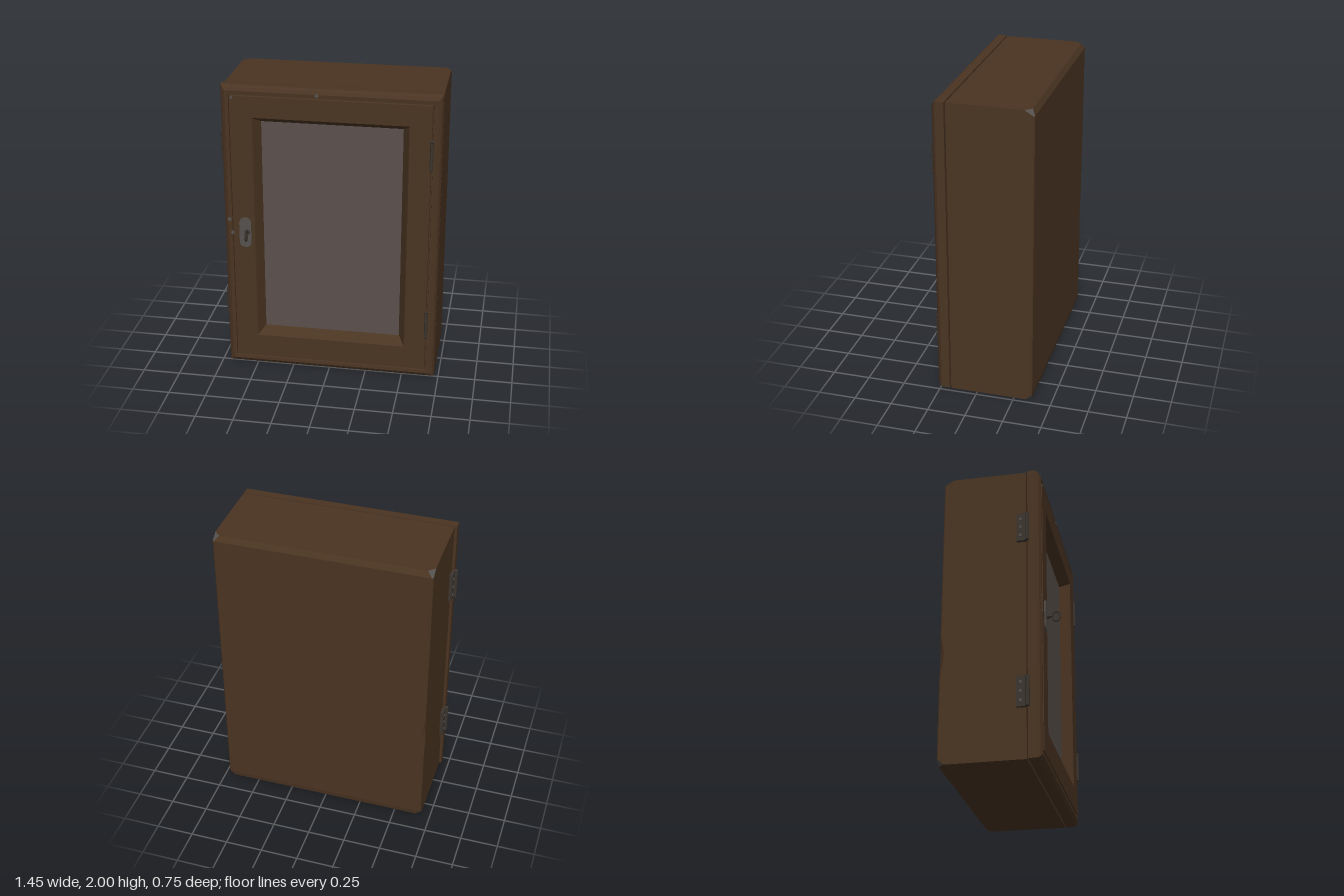
import * as THREE from 'three';

const mat = (name, color) => {
  const m = new THREE.MeshStandardMaterial({ color });
  m.name = name;
  return m;
};

// Flat-faced geometry from triangle lists, one material group per list
function facets(lists) {
  const g = new THREE.BufferGeometry();
  const pos = [];
  lists.forEach((tris, k) => {
    g.addGroup(pos.length / 3, tris.length, k);
    tris.forEach(p => pos.push(...p));
  });
  g.setAttribute('position', new THREE.Float32BufferAttribute(pos, 3));
  g.computeVertexNormals();
  return g;
}

// Case: horizontal sections with chamfered back corners, worn at top and bottom
function caseGeometry() {
  const L = -0.685, R = 0.72, F = 0.18, B = -0.37;
  // [height, right-hand chamfer, left-hand chamfer, back inset]
  const rows = [
    [0, 0.035, 0.035, 0.006], [0.035, 0.008, 0.008, 0], [0.55, 0.008, 0.008, 0],
    [0.66, 0.008, 0.024, 0], [0.74, 0.008, 0.024, 0], [0.85, 0.008, 0.008, 0],
    [1.965, 0.008, 0.008, 0], [2, 0.04, 0.04, 0.022],
  ].map(([y, cr, cl, i]) => [
    [L, y, F], [R, y, F], [R, y, B + i + cr], [R - cr, y, B + i],
    [L + cl, y, B + i], [L, y, B + i + cl],
  ]);
  const wood = [], worn = [];
  for (let k = 0; k < rows.length - 1; k++) {
    const a = rows[k], b = rows[k + 1];
    const end = k === 0 || k === rows.length - 2;
    for (let i = 0; i < 6; i++) {
      const j = (i + 1) % 6;
      const list = end && (i === 2 || i === 4) ? worn : wood;
      list.push(a[i], a[j], b[j], a[i], b[j], b[i]);
    }
  }
  const top = rows[rows.length - 1], bottom = rows[0];
  for (let i = 1; i < 5; i++) {
    wood.push(top[0], top[i], top[i + 1], bottom[0], bottom[i + 1], bottom[i]);
  }
  return facets([wood, worn]);
}

// Front: mitred rectangular moulding swept from the outer edge to the glass
function mouldingGeometry() {
  const rect = (inset, z, drop = 0) => [
    [-0.7 + inset, inset + drop, z], [0.72 - inset, inset + drop, z],
    [0.72 - inset, 2 - inset, z], [-0.7 + inset, 2 - inset, z],
  ];
  const rings = [
    rect(0, 0.19), rect(0, 0.245), rect(0.012, 0.262), rect(0.032, 0.275), rect(0.054, 0.273),
    rect(0.056, 0.258), rect(0.063, 0.258), rect(0.065, 0.277),
    rect(0.205, 0.277, 0.02), rect(0.212, 0.268, 0.02), rect(0.25, 0.2, 0.02),
  ];
  const tris = [];
  for (let k = 0; k < rings.length - 1; k++) {
    const a = rings[k], b = rings[k + 1];
    for (let i = 0; i < 4; i++) {
      const j = (i + 1) % 4;
      tris.push(a[i], a[j], b[j], a[i], b[j], b[i]);
    }
  }
  const [p, q, r, s] = rings[0];
  tris.push(p, r, q, p, s, r);
  return facets([tris]);
}

export function createModel() {
  const root = new THREE.Group();
  root.name = 'wallCabinet';
  const wood = mat('brownWood', 0x4a3422);
  const glass = mat('smokedGlass', 0x5b514d);
  const steel = mat('agedSteel', 0x54504d);
  const dark = mat('darkIron', 0x3c352f);

  const add = (name, geo, material, x = 0, y = 0, z = 0, parent = root) => {
    const m = new THREE.Mesh(geo, material);
    m.name = name;
    m.position.set(x, y, z);
    parent.add(m);
    return m;
  };

  add('case', caseGeometry(), [wood, steel]);
  add('doorFrame', mouldingGeometry(), wood);
  add('glassPane', new THREE.BoxGeometry(0.92, 1.48, 0.008), glass, 0.01, 1.01, 0.2);

  // Keyhole plate with rounded ends
  const w = 0.04, h = 0.065;
  const plate = new THREE.Shape();
  plate.moveTo(-w, -h);
  plate.quadraticCurveTo(-w, -0.105, 0, -0.105);
  plate.quadraticCurveTo(w, -0.105, w, -h);
  plate.lineTo(w, h);
  plate.quadraticCurveTo(w, 0.105, 0, 0.105);
  plate.quadraticCurveTo(-w, 0.105, -w, h);
  add('keyholePlate', new THREE.ExtrudeGeometry(plate, { depth: 0.01, bevelEnabled: false, curveSegments: 5 }),
    steel, -0.557, 0.995, 0.276);

  // Key: shaft, collar and oval bow
  const key = new THREE.Group();
  key.name = 'key';
  key.position.set(-0.538, 1, 0.28);
  root.add(key);
  const shaft = new THREE.CylinderGeometry(0.009, 0.009, 0.045, 8).rotateX(Math.PI / 2);
  add('keyShaft', shaft, dark, 0, 0, 0.022, key);
  const collar = new THREE.CylinderGeometry(0.015, 0.015, 0.01, 8).rotateX(Math.PI / 2);
  add('keyCollar', collar, dark, 0, 0, 0.01, key);
  const bow = new THREE.TorusGeometry(0.024, 0.007, 6, 16).rotateY(Math.PI / 2).scale(1, 1.4, 1);
  add('keyBow', bow, dark, 0, 0, 0.064, key);

  // Door hinge barrels on the front, strap hinges on the side
  for (const [y, ySide] of [[1.61, 1.575], [0.41, 0.43]]) {
    const hinge = new THREE.Group();
    hinge.name = 'doorHinge';
    root.add(hinge);
    add('hingeBarrel', new THREE.CylinderGeometry(0.011, 0.011, 0.17, 8), dark, 0.658, y, 0.282, hinge);
    for (const s of [-1, 1]) {
      add('hingeFinial', new THREE.SphereGeometry(0.012, 8, 6), dark, 0.658, y + s * 0.092, 0.282, hinge);
    }
    const side = new THREE.Group();
    side.name = 'sideHinge';
    root.add(side);
    add('sideHingeLeaf', new THREE.BoxGeometry(0.022, 0.2, 0.06), dark, -0.695, ySide, 0.15, side);
    add('sideHingeBarrel', new THREE.CylinderGeometry(0.014, 0.014, 0.2, 8), dark, -0.711, ySide, 0.19, side);
    for (const s of [-0.06, 0, 0.06]) {
      const screw = new THREE.CylinderGeometry(0.01, 0.01, 0.008, 8).rotateZ(Math.PI / 2);
      add('hingeScrew', screw, steel, -0.707, ySide + s, 0.146, side);
    }
  }

  // Worn spots on the front
  for (const [x, y, z, r] of [[-0.664, 1.08, 0.275, 0.014], [-0.645, 0.985, 0.274, 0.014],
    [-0.075, 1.962, 0.275, 0.014], [-0.625, 1.925, 0.278, 0.01]]) {
    add('wornSpot', new THREE.CylinderGeometry(r, r, 0.003, 7).rotateX(Math.PI / 2), steel, x, y, z);
  }
  return root;
}
